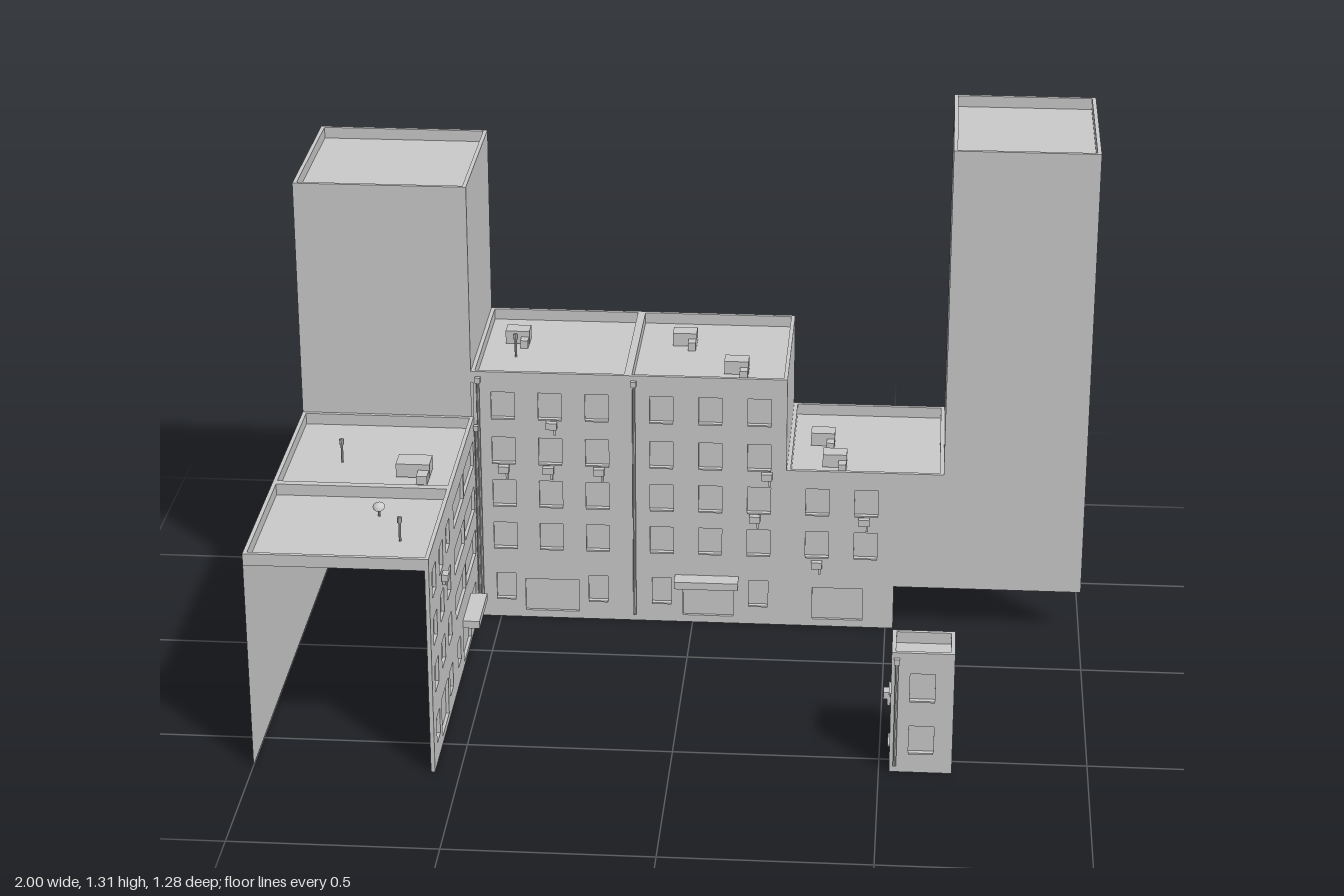
import * as THREE from 'three';

const mat = new THREE.MeshStandardMaterial({ color: 0xcccccc, side: THREE.DoubleSide, flatShading: true });
const PARAPET = 0.03, RIM = 0.01, REVEAL = 0.01;

function add(parent, name, geo, x = 0, y = 0, z = 0) {
  const m = new THREE.Mesh(geo, mat);
  m.name = name;
  m.position.set(x, y, z);
  parent.add(m);
  return m;
}
const box = (p, name, w, h, d, x, y, z) => add(p, name, new THREE.BoxGeometry(w, h, d), x, y, z);
const post = (p, name, r, h, x, y, z) => add(p, name, new THREE.CylinderGeometry(r, r, h, 8), x, y + h / 2, z);

// plain wall sheets
function wallX(p, name, x, z0, z1, y0, y1, dir = 1) {
  add(p, name, new THREE.PlaneGeometry(z1 - z0, y1 - y0), x, (y0 + y1) / 2, (z0 + z1) / 2).rotation.y = dir * Math.PI / 2;
}
function wallZ(p, name, z, x0, x1, y0, y1, dir = 1) {
  add(p, name, new THREE.PlaneGeometry(x1 - x0, y1 - y0), (x0 + x1) / 2, (y0 + y1) / 2, z).rotation.y = dir > 0 ? 0 : Math.PI;
}

function rectPath(x0, y0, x1, y1, Type = THREE.Path) {
  const s = new Type();
  s.moveTo(x0, y0);
  s.lineTo(x1, y0);
  s.lineTo(x1, y1);
  s.lineTo(x0, y1);
  s.closePath();
  return s;
}

// flat roof sunk behind a parapet rim
function roof(p, x0, x1, z0, z1, top) {
  const g = new THREE.Group();
  g.name = 'roofSection';
  p.add(g);
  const s = rectPath(x0, -z1, x1, -z0, THREE.Shape);
  s.holes.push(rectPath(x0 + RIM, -z1 + RIM, x1 - RIM, -z0 - RIM));
  add(g, 'parapet', new THREE.ExtrudeGeometry(s, { depth: PARAPET, bevelEnabled: false }), 0, top - PARAPET, 0).rotation.x = -Math.PI / 2;
  add(g, 'roofDeck', new THREE.PlaneGeometry(x1 - x0, z1 - z0), (x0 + x1) / 2, top - PARAPET + 0.001, (z0 + z1) / 2).rotation.x = -Math.PI / 2;
}

// facade facing local +z; openings are [u0, v0, u1, v1]
function facade(p, name, outline, openings, sills = true) {
  const g = new THREE.Group();
  g.name = name;
  p.add(g);
  const s = new THREE.Shape(outline.map(([x, y]) => new THREE.Vector2(x, y)));
  for (const o of openings) s.holes.push(rectPath(...o));
  add(g, 'wall', new THREE.ExtrudeGeometry(s, { depth: REVEAL, bevelEnabled: false }), 0, 0, -REVEAL);
  for (const [u0, v0, u1, v1] of openings) {
    const u = (u0 + u1) / 2;
    add(g, 'pane', new THREE.PlaneGeometry(u1 - u0, v1 - v0), u, (v0 + v1) / 2, -REVEAL * 0.8);
    if (sills && v0 > 0.03) box(g, 'sill', u1 - u0, 0.004, 0.006, u, v0 - 0.002, 0.002);
  }
  return g;
}
const win = (u, v, w = 0.06, h = 0.07) => [u - w / 2, v, u + w / 2, v + h];

// wall-hung cooling unit with bracket
function coolingUnit(p, u, v) {
  box(p, 'coolingUnit', 0.028, 0.018, 0.016, u, v, 0.01);
  box(p, 'bracket', 0.006, 0.022, 0.008, u + 0.008, v - 0.016, 0.005);
}

function drainPipe(p, u, v0, v1) {
  post(p, 'drainPipe', 0.004, v1 - v0, u, v0, 0.007);
  box(p, 'pipeHead', 0.014, 0.014, 0.012, u, v1, 0.007);
}

// roof ventilator with side duct
function ventilator(p, x, y, z, s = 1) {
  box(p, 'ventilator', 0.062 * s, 0.035, 0.045 * s, x, y + 0.0205, z);
  box(p, 'duct', 0.02 * s, 0.022, 0.03 * s, x + 0.02 * s, y + 0.012, z + 0.035 * s);
}

function antenna(p, x, y, z) {
  post(p, 'antennaPost', 0.003, 0.065, x, y, z);
  post(p, 'antennaCap', 0.006, 0.014, x, y + 0.05, z);
}

export function createModel() {
  const root = new THREE.Group();
  root.name = 'cityBlock';

  // roofs
  roof(root, -1, -0.565, -0.64, -0.2, 1.185);
  roof(root, -0.565, -0.165, -0.64, -0.2, 0.69);
  roof(root, -0.165, 0.24, -0.64, -0.2, 0.69);
  roof(root, 0.24, 0.64, -0.64, -0.2, 0.44);
  roof(root, 0.64, 1, -0.64, -0.2, 1.31);
  roof(root, -1, -0.56, -0.2, 0.235, 0.565);
  roof(root, -1, -0.56, 0.235, 0.64, 0.565);

  // rear walls
  [[-1, -0.565, 1.155], [-0.565, 0.24, 0.66], [0.24, 0.64, 0.41], [0.64, 1, 1.28]]
    .forEach(([a, b, h]) => wallZ(root, 'rearWall', -0.64, a, b, 0, h, -1));

  // outer west walls, tower sides and step between roofs
  wallX(root, 'westWall', -1, -0.64, -0.2, 0, 1.155, -1);
  wallX(root, 'westWall', -1, -0.2, 0.64, 0, 0.535, -1);
  wallZ(root, 'westTowerFront', -0.2, -1, -0.565, 0.535, 1.155);
  wallX(root, 'westTowerSide', -0.565, -0.64, -0.2, 0.66, 1.155);
  wallX(root, 'stepWall', 0.24, -0.64, -0.2, 0.41, 0.66);
  wallX(root, 'eastTowerInnerSide', 0.64, -0.64, -0.2, 0.41, 1.28, -1);
  wallX(root, 'eastTowerOuterSide', 1, -0.64, -0.2, 0.81, 1.28);

  // main facade
  const cols = [-0.485, -0.365, -0.245, -0.08, 0.045, 0.17];
  const open = [];
  for (const v of [0.2, 0.32, 0.44, 0.565]) {
    for (const u of cols) open.push(win(u, v));
    if (v < 0.4) for (const u of [0.32, 0.445]) open.push(win(u, v));
  }
  for (const u of [-0.485, -0.245, -0.08, 0.17]) open.push(win(u, 0.055, 0.05, 0.07));
  for (const u of [-0.36, 0.04, 0.375]) open.push([u < -0.3 ? u - 0.075 : u - 0.065, 0.02, u + 0.065, 0.11]);
  const main = facade(root, 'mainFacade', [
    [-0.56, 0], [0.52, 0], [0.52, 0.12], [1, 0.12], [1, 1.28], [0.64, 1.28],
    [0.64, 0.41], [0.24, 0.41], [0.24, 0.66], [-0.56, 0.66]], open);
  main.position.z = -0.2;
  box(main, 'canopy', 0.165, 0.02, 0.045, 0.037, 0.125, 0.0225);
  [[-0.36, 0.55], [-0.485, 0.425], [-0.37, 0.425], [-0.24, 0.425], [0.19, 0.425],
    [0.16, 0.305], [0.44, 0.305], [0.32, 0.18]].forEach(([u, v]) => coolingUnit(main, u, v));
  for (const u of [-0.547, -0.15]) drainPipe(main, u, 0.02, 0.67);

  // side wing facade, turned to face +x (u = -z)
  const side = [];
  for (const v of [0.19, 0.315, 0.44]) {
    for (const z of [0.562, 0.44, 0.32]) side.push(win(-z, v, 0.061, 0.068));
    side.push([-0.212, v, -0.028, v + 0.068], [-0.014, v, 0.174, v + 0.068]);
  }
  for (const z of [0.562, 0.32, 0.172, -0.13]) side.push(win(-z, 0.05, 0.054, 0.067));
  side.push([-0.5, 0.02, -0.38, 0.12], [-0.09, 0.012, 0.055, 0.112]);
  const wing = facade(root, 'wingFacade',
    [[-0.64, 0], [0.2, 0], [0.2, 0.535], [-0.64, 0.535]], side, false);
  wing.rotation.y = Math.PI / 2;
  wing.position.x = -0.56;
  box(wing, 'canopy', 0.16, 0.02, 0.042, -0.018, 0.122, 0.021);
  coolingUnit(wing, -0.44, 0.425);
  drainPipe(wing, 0.185, 0.02, 0.54);

  // roof equipment
  ventilator(root, -0.475, 0.66, -0.48);
  ventilator(root, -0.04, 0.66, -0.495);
  ventilator(root, 0.105, 0.66, -0.315);
  ventilator(root, 0.325, 0.41, -0.445);
  ventilator(root, 0.36, 0.41, -0.31);
  ventilator(root, -0.67, 0.538, 0.1, 1.35);
  antenna(root, -0.47, 0.66, -0.375);
  antenna(root, -0.86, 0.535, 0.04);
  antenna(root, -0.65, 0.535, 0.485);
  post(root, 'dishPost', 0.003, 0.03, -0.72, 0.535, 0.35);
  const dish = add(root, 'dish', new THREE.SphereGeometry(0.018, 12, 4, 0, Math.PI * 2, 0, 1), -0.72, 0.555, 0.35);
  dish.rotation.x = 0.5;

  // freestanding stair block
  const kiosk = new THREE.Group();
  kiosk.name = 'stairBlock';
  kiosk.position.set(0.6, 0, 0.5);
  root.add(kiosk);
  roof(kiosk, -0.075, 0.075, -0.06, 0.06, 0.32);
  const panel = (name, half, angle, x, z, openings) => {
    const f = facade(kiosk, name, [[-half, 0], [half, 0], [half, 0.29], [-half, 0.29]], openings);
    f.rotation.y = angle;
    f.position.set(x, 0, z);
    return f;
  };
  const pair = [win(0, 0.055), win(0, 0.195)];
  const front = panel('stairFront', 0.075, 0, 0, 0.06, pair);
  panel('stairRear', 0.075, Math.PI, 0, -0.06, [[-0.035, 0.01, 0.035, 0.1], win(0, 0.13, 0.05), win(0, 0.215, 0.05, 0.06)]);
  const left = panel('stairSide', 0.06, -Math.PI / 2, -0.075, 0, pair);
  wallX(kiosk, 'stairOpenSide', 0.075, -0.06, 0.022, 0.015, 0.29);
  wallX(kiosk, 'stairOpenSideTop', 0.075, 0.022, 0.06, 0.1, 0.29);
  drainPipe(front, -0.062, 0.02, 0.3);
  coolingUnit(left, 0, 0.18);

  return root;
}
